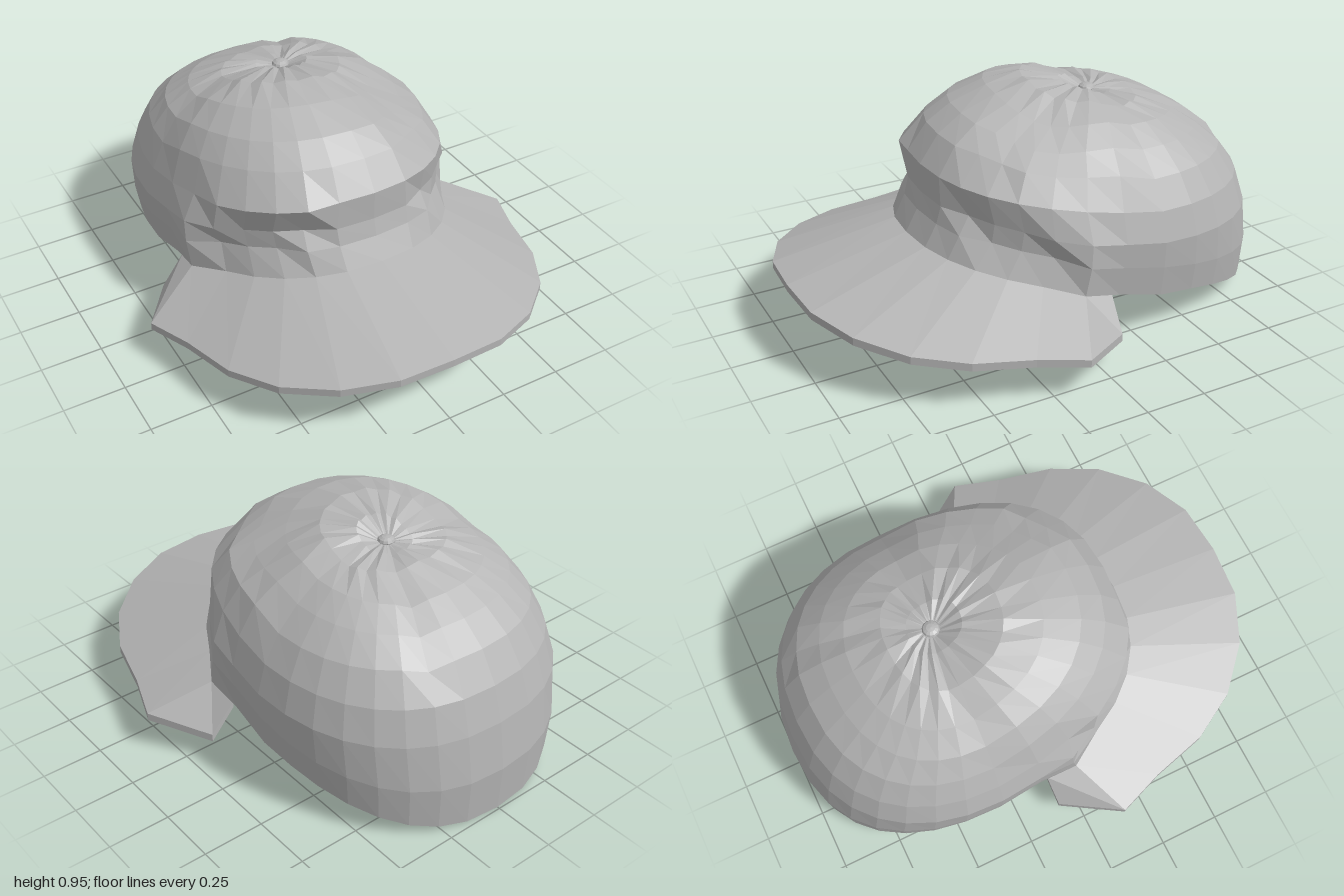
import * as THREE from 'three';

// Crown profiles from rim to top: [distance from the crown axis, height]
const FRONT = [[.82, .41], [.77, .5], [.75, .57], [.75, .69], [.67, .8], [.57, .87], [.42, .93], [.27, .955], [.12, .925], [.03, .87]];
const LEFT = [[.595, .2], [.61, .33], [.615, .44], [.58, .56], [.515, .67], [.425, .76], [.33, .83], [.22, .865], [.1, .88], [.03, .87]];
const RIGHT = [[.595, .2], [.615, .33], [.625, .44], [.59, .55], [.54, .66], [.475, .76], [.38, .83], [.25, .87], [.1, .88], [.03, .87]];
const BACK = [[.67, .005], [.68, .2], [.65, .4], [.605, .54], [.53, .66], [.43, .74], [.33, .8], [.18, .86], [.09, .87], [.03, .87]];
// Sideways flare of the lowest rows where the crown folds over the brim
const FOLD = [1.07, 1.05, 1.03];
const AXIS_Z = -.32;
const SEGMENTS = 32;

// Point on the crown: row from rim to top, angle in degrees from the front towards the left side
function crownPoint(row, degrees) {
  const angle = degrees * Math.PI / 180, deg = Math.abs(degrees);
  const s = Math.sin(angle), c = Math.cos(angle);
  const side = (s > 0 ? LEFT : RIGHT)[row], end = (c > 0 ? FRONT : BACK)[row];
  // Slightly squared ovals
  const along = Math.abs(c) ** .9;
  let x = Math.sign(s) * Math.abs(s) ** .85 * side[0];
  let z = Math.sign(c) * along * end[0];
  let lift = along;
  if (c > 0 && row > 3) lift = c ** .6;
  if (c < 0 && row === 0) lift = along ** 1.6;
  let y = side[1] + (end[1] - side[1]) * lift;

  // Sunken band above the brim, a ledge over it on the right, a hollow on the left
  let k = 1;
  if (row === 2 && deg > 20 && deg < 50) k = .96;
  if (row === 1 && deg > 30 && deg < 62) k = .95;
  if (row === 3 && degrees < -20 && degrees > -60) k = 1.035;
  if ((row === 4 || row === 5) && degrees > 20 && degrees < 40) k = .965;
  x *= k;
  z *= k;
  if (row < 3 && deg > 62 && deg < 72) x *= FOLD[row];

  // Soft dent on the left of the top, and a crease running to the back
  if (row > 3 && row < 9) {
    y -= .065 * Math.exp(-((x - .27) ** 2 + (z - .34) ** 2) / .04);
    if (Math.abs(degrees - 157.5) < 3) y -= .02;
  }
  // Small pleats gathered at the button
  if (row === 7 || row === 8) y += (Math.round(degrees / 11.25) % 2 ? -1 : 1) * .005;
  return [x, y, z + AXIS_Z];
}

// Surface through rows of points, with optional caps at both ends
function loft(rows, capped = false) {
  const n = rows[0].length, index = [];
  for (let i = 0; i < rows.length - 1; i++) {
    for (let j = 0; j < n - 1; j++) {
      const a = i * n + j, b = a + n;
      index.push(a, b, b + 1, a, b + 1, a + 1);
    }
  }
  if (capped) {
    const e = n - 1;
    index.push(3 * n, 2 * n, n, 3 * n, n, 0);
    index.push(e, n + e, 2 * n + e, e, 2 * n + e, 3 * n + e);
  }
  const geometry = new THREE.BufferGeometry();
  geometry.setAttribute('position', new THREE.Float32BufferAttribute(rows.flat(2), 3));
  geometry.setIndex(index);
  const flat = geometry.toNonIndexed();
  flat.computeVertexNormals();
  return flat;
}

function crownGeometry() {
  const angles = Array.from({ length: SEGMENTS + 1 }, (_, j) => (j / SEGMENTS * 2 - 1) * 180);
  const outer = FRONT.map((_, row) => angles.map(a => crownPoint(row, a)));
  // Lining: the same rows drawn in a little
  const inner = outer.map((ring, row) => ring.map(([x, y, z]) =>
    [x * .975, y - .018 * row / 9, (z - AXIS_Z) * .975 + AXIS_Z]));
  return loft([...outer.reverse(), ...inner]);
}

function brimGeometry() {
  // Outer edge of one half, from the front centre to the rear corner
  const edge = [[0, .305, 1], [.22, .295, .985], [.42, .27, .9], [.59, .24, .75],
    [.7, .215, .56], [.76, .195, .33], [.83, .175, .14], [.68, .135, -.09]];
  const inner = [0, 11.25, 22.5, 33.75, 45, 56.25, 67.5, 76.6].map(d => crownPoint(0, d));
  const mirror = half => [...half.slice(1).reverse().map(([x, y, z]) => [-x, y, z]), ...half];
  const lower = (half, t) => half.map(([x, y, z]) => [x, y - t, z]);
  const rows = [inner, edge, lower(edge, .032), lower(inner, .025), inner].map(mirror);
  return loft(rows, true);
}

export function createModel() {
  const cap = new THREE.Group();
  cap.name = 'cap';
  const cloth = new THREE.MeshStandardMaterial({ color: 0xb4b4b4, flatShading: true });
  cloth.name = 'grey cloth';

  const add = (name, geometry) => {
    const mesh = new THREE.Mesh(geometry, cloth);
    mesh.name = name;
    cap.add(mesh);
    return mesh;
  };
  add('crown', crownGeometry());
  add('brim', brimGeometry());

  const button = add('topButton', new THREE.SphereGeometry(.035, 12, 6));
  button.scale.y = .5;
  button.position.set(0, .873, AXIS_Z);
  return cap;
}
